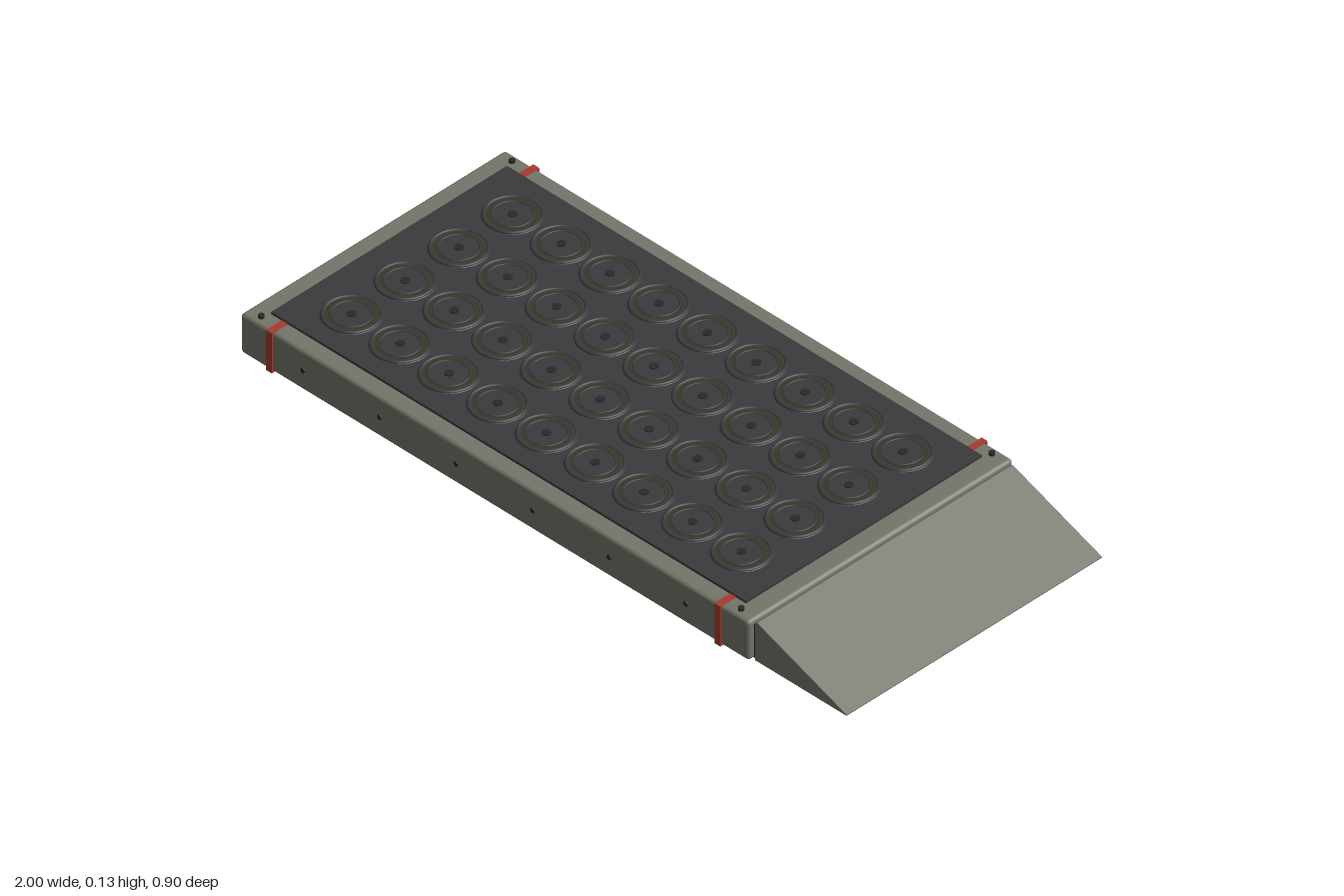
import * as THREE from 'three';
import { RoundedBoxGeometry } from 'three/addons/geometries/RoundedBoxGeometry.js';

const mat = (name, color) => {
  const m = new THREE.MeshStandardMaterial({ color });
  m.name = name;
  return m;
};

export function createModel() {
  const root = new THREE.Group();
  root.name = 'rampPlatform';
  const olive = mat('oliveGrey', 0x73776a);
  const charcoal = mat('charcoal', 0x3a3a3c);
  const black = mat('nearBlack', 0x29292b);
  const red = mat('red', 0xa83a30);
  const amber = mat('darkAmber', 0x3d3522);

  const add = (name, geo, material, x = 0, y = 0, z = 0, parent = root) => {
    const mesh = new THREE.Mesh(geo, material);
    mesh.name = name;
    mesh.position.set(x, y, z);
    parent.add(mesh);
    return mesh;
  };

  // Main slab with softly rounded edges
  add('platformBody', new RoundedBoxGeometry(1.69, 0.117, 0.888, 3, 0.011), olive, -0.155, 0.0595, 0);

  // Wedge ramp on the left end, with a narrow dark seam
  const profile = new THREE.Shape();
  profile.moveTo(0.696, 0.001);
  profile.lineTo(1, 0.001);
  profile.lineTo(1, 0.004);
  profile.lineTo(0.703, 0.116);
  profile.lineTo(0.696, 0.112);
  profile.closePath();
  const wedge = new THREE.ExtrudeGeometry(profile, { depth: 0.856, bevelEnabled: false });
  wedge.translate(0, 0, -0.428);
  add('ramp', wedge, olive);
  add('rampSeam', new THREE.BoxGeometry(0.012, 0.1, 0.85), black, 0.692, 0.054, 0);

  // Raised dark deck panel
  add('deckPanel', new THREE.BoxGeometry(1.578, 0.01, 0.79), charcoal, -0.156, 0.12, 0);

  // Grid of round pads: low disc, raised rim, amber line and hub
  const disc = new THREE.CylinderGeometry(0.072, 0.076, 0.0025, 32);
  const rim = new THREE.TorusGeometry(0.07, 0.0045, 6, 32).rotateX(Math.PI / 2);
  const line = new THREE.RingGeometry(0.054, 0.061, 32).rotateX(-Math.PI / 2);
  const innerRim = new THREE.TorusGeometry(0.05, 0.002, 6, 32).rotateX(Math.PI / 2);
  const hub = new THREE.CylinderGeometry(0.012, 0.012, 0.003, 16);
  for (let c = 0; c < 9; c++) {
    for (let r = 0; r < 4; r++) {
      const pad = new THREE.Group();
      pad.name = 'pad';
      pad.position.set(-0.802 + c * 0.162, 0.125, -0.27 + r * 0.18);
      root.add(pad);
      add('padDisc', disc, charcoal, 0, 0.00125, 0, pad);
      add('padRim', rim, charcoal, 0, 0.001, 0, pad);
      add('padLine', line, amber, 0, 0.003, 0, pad);
      add('padInnerRim', innerRim, charcoal, 0, 0.0025, 0, pad);
      add('padHub', hub, black, 0, 0.0035, 0, pad);
    }
  }

  // Red straps wrapped around the slab
  for (const x of [-0.9, 0.59]) {
    add('strapTop', new THREE.BoxGeometry(0.02, 0.003, 0.896), red, x, 0.118, 0);
    add('strapBottom', new THREE.BoxGeometry(0.02, 0.003, 0.896), red, x, 0.0015, 0);
    for (const s of [-1, 1]) {
      add('strapSide', new THREE.BoxGeometry(0.02, 0.118, 0.004), red, x, 0.06, s * 0.446);
    }
  }

  // Side bolts and corner bolts
  const sideBolt = new THREE.CylinderGeometry(0.007, 0.007, 0.006, 12).rotateX(Math.PI / 2);
  const cornerBolt = new THREE.CylinderGeometry(0.008, 0.008, 0.01, 12);
  for (const s of [-1, 1]) {
    for (let i = 0; i < 6; i++) add('sideBolt', sideBolt, black, -0.79 + i * 0.2545, 0.062, s * 0.444);
    for (const x of [-0.953, 0.642]) add('cornerBolt', cornerBolt, black, x, 0.121, s * 0.42);
  }
  return root;
}
